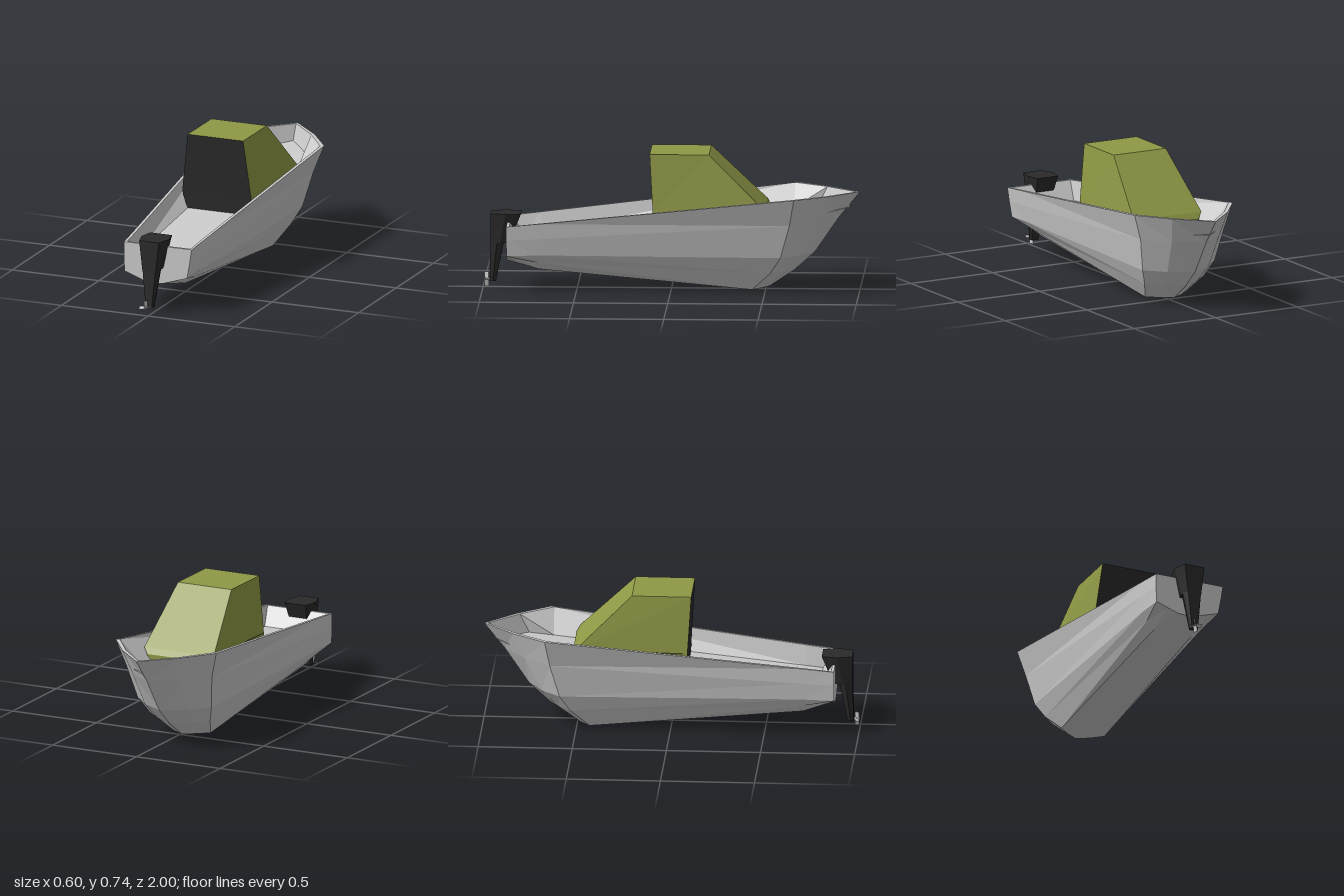
import * as THREE from 'three';

const material = (color) => new THREE.MeshStandardMaterial({ color, flatShading: true });
const grey = material(0xcccccc);
const olive = material(0x8f9845);
const black = material(0x2a2a2a);

// Mesh from a list of quads, each four corner arrays in counter-clockwise order
function quadMesh(name, quads, mat) {
  const pos = [];
  for (const [a, b, c, d] of quads) pos.push(...a, ...b, ...c, ...a, ...c, ...d);
  const geo = new THREE.BufferGeometry();
  geo.setAttribute('position', new THREE.Float32BufferAttribute(pos, 3));
  geo.computeVertexNormals();
  const mesh = new THREE.Mesh(geo, mat);
  mesh.name = name;
  return mesh;
}

// Side quads between rings listed bottom to top, for the chosen ring edges
function loftQuads(rings, edges) {
  const quads = [];
  const n = rings[0].length;
  for (let i = 0; i + 1 < rings.length; i++) {
    for (const j of edges) {
      const k = (j + 1) % n;
      quads.push([rings[i][j], rings[i][k], rings[i + 1][k], rings[i + 1][j]]);
    }
  }
  return quads;
}

function capQuads(ring, up) {
  const quads = [];
  for (let j = 1; j + 1 < ring.length; j++) {
    const [b, c] = up ? [ring[j], ring[j + 1]] : [ring[j + 1], ring[j]];
    quads.push([ring[0], b, c, c]);
  }
  return quads;
}

// Half sections from stern to bow: deck centre, deck edge, inner rim, rim,
// topside, upper chine, lower chine, bottom edge, bottom centre
const stations = [
  [[0, .257, .79], [.165, .257, .79], [.182, .355, .855], [.195, .355, .87],
    [.19, .28, .87], [.18, .193, .87], [.11, .17, .87], [.045, .148, .87], [0, .146, .87]],
  [[0, .267, .7], [.165, .267, .7], [.19, .373, .7], [.206, .373, .7],
    [.2, .29, .7], [.187, .2, .7], [.155, .155, .7], [.108, .112, .7], [0, .112, .7]],
  [[0, .409, -.64], [.163, .409, -.64], [.283, .525, -.645], [.3, .525, -.66],
    [.255, .38, -.635], [.22, .2, -.585], [.18, .11, -.53], [.125, .012, -.43], [0, .012, -.43]],
  [[0, .423, -.77], [.16, .423, -.77], [.157, .525, -.82], [.17, .525, -.835],
    [.145, .385, -.775], [.125, .2, -.685], [.1, .108, -.6], [.068, .012, -.48], [0, .012, -.48]],
  [[0, .441, -.94], [0, .441, -.94], [0, .525, -.98], [0, .525, -1],
    [0, .39, -.89], [0, .2, -.76], [0, .1, -.65], [0, .012, -.52], [0, .012, -.52]],
];
// The lower hull leans slightly to one side
const lean = [-.004, 0, 0, 0, -.006, -.012, -.016, -.022, -.022];

function hull() {
  const side = (s) => stations.map((st) => st.map(([x, y, z], j) => [s * x + lean[j], y, z]));
  const R = side(1), L = side(-1);
  const quads = [];
  for (let i = 0; i + 1 < R.length; i++) {
    for (let j = 0; j + 1 < R[i].length; j++) {
      quads.push([R[i][j], R[i][j + 1], R[i + 1][j + 1], R[i + 1][j]]);
      quads.push([L[i][j], L[i + 1][j], L[i + 1][j + 1], L[i][j + 1]]);
    }
  }
  // Transom: outside below the rim, then rim and sloping inside
  const r = R[0], l = L[0];
  for (let j = 3; j < 8; j++) quads.push([l[j], l[j + 1], r[j + 1], r[j]]);
  for (const j of [3, 2]) quads.push([l[j], r[j], r[j - 1], l[j - 1]]);
  return quadMesh('hull', quads, grey);
}

function cabin() {
  // Each level: half width, height and z at the open rear and sloping front
  const level = ([wr, yr, zr], [wf, yf, zf]) => [
    [-wr + .004, yr, zr], [wr + .004, yr, zr], [wf + .006, yf, zf], [-wf + .006, yf, zf]];
  const rings = [
    level([.168, .328, .088], [.18, .392, -.52]),
    level([.196, .405, .09], [.18, .425, -.52]),
    level([.197, .44, .092], [.207, .455, -.5]),
    level([.16, .745, .11], [.16, .745, -.205]),
  ];
  const group = new THREE.Group();
  group.name = 'cabin';
  group.add(quadMesh('cabinShell', [...loftQuads(rings, [1, 2, 3]), ...capQuads(rings[3], true)], olive));
  group.add(quadMesh('cabinRearPanel', loftQuads(rings, [0]), black));
  return group;
}

// Tapering six-sided column; each level is height, half width, rear z, front z
function hexColumn(name, levels) {
  const rings = levels.map(([y, w, zr, zf]) => {
    const zm = (zr + zf) / 2;
    return [[-.72 * w, zr], [.72 * w, zr], [w, zm], [.8 * w, zf], [-.8 * w, zf], [-w, zm]]
      .map(([x, z]) => [x - .012, y, z]);
  });
  const quads = [...loftQuads(rings, [0, 1, 2, 3, 4, 5]),
    ...capQuads(rings[0], false), ...capQuads(rings[rings.length - 1], true)];
  return quadMesh(name, quads, black);
}

function outboardMotor() {
  const group = new THREE.Group();
  group.name = 'outboardMotor';
  group.add(hexColumn('motorCowl', [[.242, .054, .96, .86], [.4, .079, .96, .798]]));
  group.add(hexColumn('motorLeg', [[.032, .024, .965, .932], [.245, .052, .96, .89]]));

  const propeller = new THREE.Group();
  propeller.name = 'propeller';
  const hub = new THREE.Mesh(new THREE.CylinderGeometry(.004, .007, .03, 6), grey);
  hub.name = 'propellerHub';
  hub.rotation.x = Math.PI / 2;
  propeller.add(hub);
  for (let i = 0; i < 4; i++) {
    const arm = new THREE.Group();
    const blade = new THREE.Mesh(new THREE.BoxGeometry(.024, .034, .003), grey);
    blade.name = 'propellerBlade';
    blade.position.y = .021;
    blade.rotation.y = 1.15;
    arm.rotation.z = i * Math.PI / 2 + .1;
    arm.add(blade);
    propeller.add(arm);
  }
  propeller.position.set(-.02, .04, .982);
  group.add(propeller);
  return group;
}

export function createModel() {
  const model = new THREE.Group();
  model.name = 'patrolBoat';
  model.add(hull(), cabin(), outboardMotor());
  return model;
}
